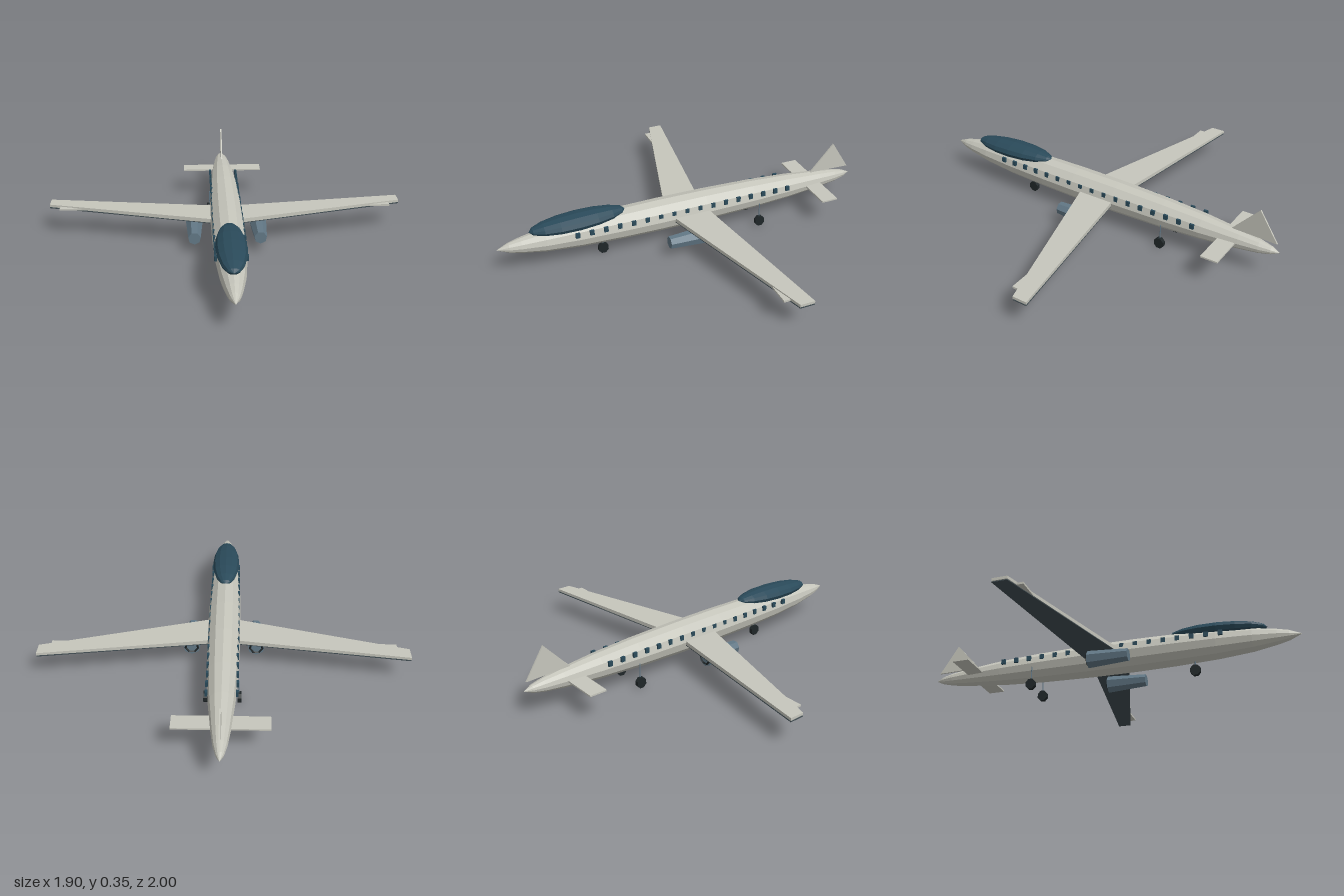
import * as THREE from 'three';

const paint = (color, side = THREE.FrontSide) =>
  new THREE.MeshStandardMaterial({ color, side, flatShading: true });

export function createModel() {
  const body = paint(0xc6c6bc), glass = paint(0x2a4a5a), steel = paint(0x627886);
  const dark = paint(0x1f2628), under = paint(0x414d52);
  const model = new THREE.Group();
  model.name = 'airliner';

  const add = (name, geometry, material, x = 0, y = 0, z = 0) => {
    const mesh = new THREE.Mesh(geometry, material);
    mesh.name = name;
    mesh.position.set(x, y, z);
    model.add(mesh);
    return mesh;
  };
  // Flat plate from (x, z) outline, lying horizontally with its middle on y = 0
  const plate = (points, thickness) => {
    const shape = new THREE.Shape(points.map(([x, z]) => new THREE.Vector2(x, -z)));
    return new THREE.ExtrudeGeometry(shape, { depth: thickness, bevelEnabled: false })
      .translate(0, 0, -thickness / 2).rotateX(-Math.PI / 2);
  };

  // Fuselage: spindle turned around z
  const profile = [
    [0.001, -1], [0.02, -0.96], [0.034, -0.9], [0.047, -0.8], [0.066, -0.6], [0.078, -0.38],
    [0.085, -0.1], [0.086, 0.15], [0.083, 0.35], [0.075, 0.58], [0.06, 0.76], [0.04, 0.88],
    [0.026, 0.94], [0.001, 1],
  ].map(([r, z]) => new THREE.Vector2(r, z));
  add('fuselage', new THREE.LatheGeometry(profile, 12).rotateX(Math.PI / 2), body, 0, 0.155, 0);

  // Canopy blister over the nose
  const canopy = add('canopy', new THREE.SphereGeometry(1, 12, 8).rotateX(Math.PI / 2)
    .scale(0.075, 0.042, 0.25), glass, 0, 0.227, 0.585);
  canopy.rotation.x = 0.04;

  // Tail fin: thin triangle in the yz plane
  const fin = plate([[0.75, 0.205], [0.885, 0.355], [0.985, 0.2]], 0.008)
    .rotateX(Math.PI / 2).rotateX(Math.PI).rotateY(Math.PI / 2);
  fin.computeBoundingBox();
  const box = fin.boundingBox;
  fin.translate(-(box.min.x + box.max.x) / 2, 0, 0);
  if (box.max.y <= 0) fin.rotateZ(Math.PI);
  add('tailFin', fin, body);

  // Tailplane
  add('tailplane', new THREE.BoxGeometry(0.46, 0.008, 0.09), body, 0, 0.153, -0.745);

  for (const s of [1, -1]) {
    const side = s > 0 ? 'left' : 'right';
    const mirror = (points) => points.map(([x, z]) => [s * x, z]);

    // Swept wing, thicker at the root, with a dark lower skin
    const outline = mirror([[0, 0.112], [0.95, -0.157], [0.95, -0.232], [0, -0.093]]);
    const wing = plate(outline, 0.022);
    const p = wing.attributes.position;
    for (let i = 0; i < p.count; i++) p.setY(i, p.getY(i) * (1 - 0.4 * Math.abs(p.getX(i))));
    wing.computeVertexNormals();
    add(side + 'Wing', wing, body, 0, 0.151, 0);
    add(side + 'WingLowerSkin', plate(outline, 0.004), under, 0, 0.139, 0);

    // Leading edge slat near the tip
    add(side + 'Slat', plate(mirror([[0.72, -0.107], [0.89, -0.107], [0.89, -0.145], [0.72, -0.145]]), 0.01),
      body, 0, 0.147, 0);

    // Engine pod, flaring to the rear, with a dark nozzle ring
    add(side + 'Engine', new THREE.CylinderGeometry(0.033, 0.046, 0.21, 7).rotateX(Math.PI / 2),
      steel, s * 0.17, 0.083, 0.053);
    add(side + 'Nozzle', new THREE.TorusGeometry(0.034, 0.006, 4, 7).rotateZ(-Math.PI / 2 * 0.14),
      dark, s * 0.17, 0.083, -0.052);

    // Row of cabin windows
    for (let i = 0; i < 17; i++) {
      add(side + 'Window', new THREE.BoxGeometry(0.012, 0.026, 0.022), glass,
        s * 0.074, 0.185, 0.607 - i * 0.0735);
    }
  }

  // Landing gear: thin strut and faceted wheel
  for (const [name, x, z] of [['nose', 0, 0.46], ['leftMain', 0.085, -0.4], ['rightMain', -0.085, -0.4]]) {
    add(name + 'Wheel', new THREE.CylinderGeometry(0.028, 0.028, 0.02, 8).rotateZ(Math.PI / 2)
      .rotateX(Math.PI / 8), dark, x, 0.0285, z).scale.set(1, 1.08, 1);
    add(name + 'Strut', new THREE.CylinderGeometry(0.003, 0.003, 0.09, 6), steel, x * 0.95, 0.085, z);
  }
  return model;
}
